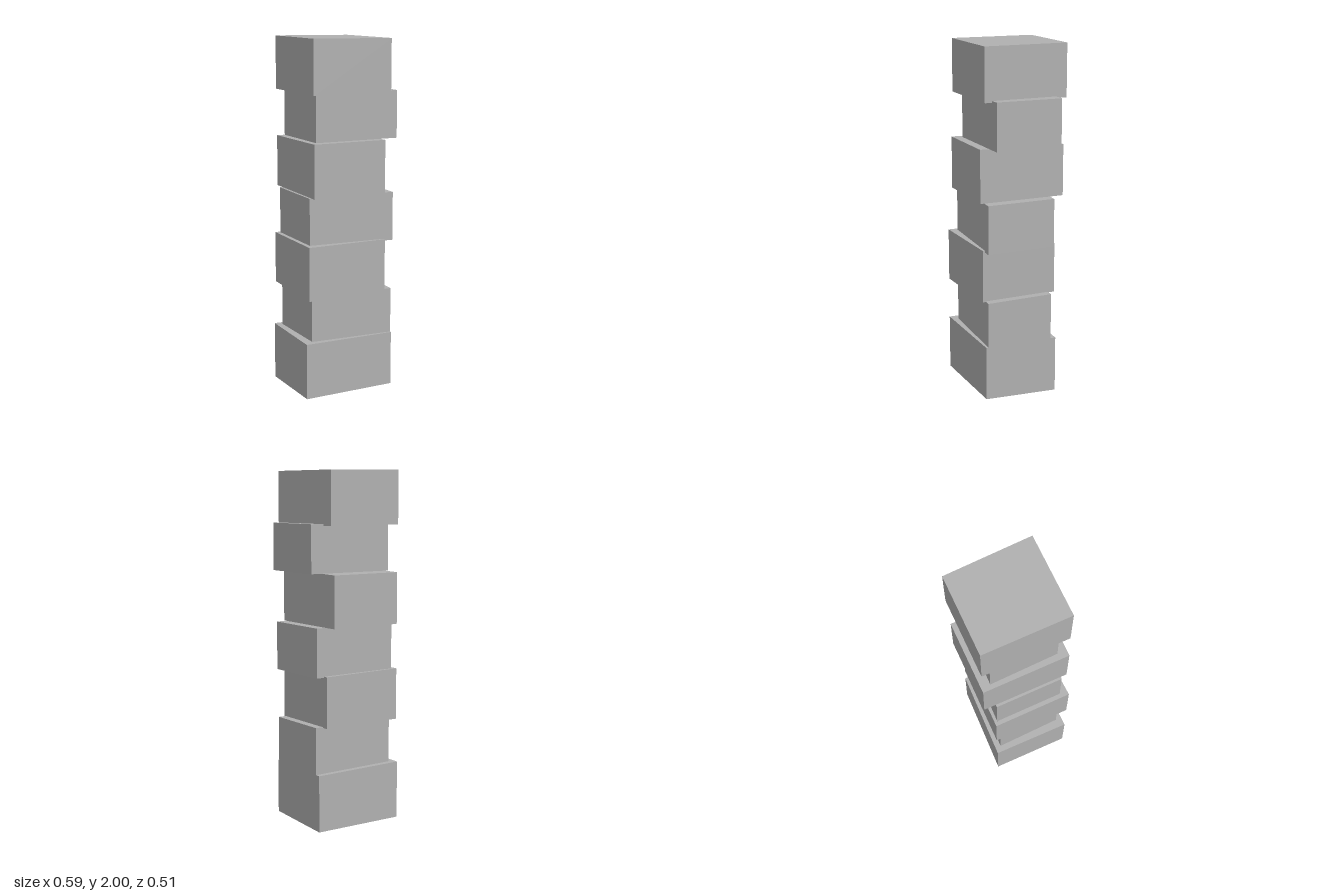
import * as THREE from 'three';

// Each block: corners [x, z] in order backLeftX, backRightX, frontRightX, frontLeftX (negative x first),
// and heights as base + slope along x and z, so the blocks sit slightly crooked.
const blocks = [
  { name: 'baseBlock', corners: [[-0.29, -0.205], [0.245, -0.19], [0.243, 0.238], [-0.295, 0.25]],
    bottom: [0.01, 0, 0.04], top: [0.33, -0.015, 0.01] },
  { name: 'secondBlock', corners: [[-0.255, -0.17], [0.245, -0.16], [0.245, 0.225], [-0.245, 0.213]],
    bottom: [0.33, -0.015, 0.01], top: [0.587, 0.01, -0.01] },
  { name: 'thirdBlock', corners: [[-0.28, -0.204], [0.2, -0.2], [0.198, 0.237], [-0.279, 0.255]],
    bottom: [0.585, 0, -0.01], top: [0.88, -0.01, 0.01] },
  { name: 'fourthBlock', corners: [[-0.255, -0.187], [0.247, -0.173], [0.252, 0.226], [-0.254, 0.208]],
    bottom: [0.872, -0.01, 0], top: [1.145, 0, 0] },
  { name: 'fifthBlock', corners: [[-0.24, -0.255], [0.187, -0.255], [0.19, 0.246], [-0.241, 0.243]],
    bottom: [1.145, 0, 0], top: [1.44, 0, 0.016] },
  { name: 'sixthBlock', corners: [[-0.215, -0.203], [0.293, -0.19], [0.292, 0.192], [-0.205, 0.19]],
    bottom: [1.443, 0, 0], top: [1.706, 0.01, 0] },
  { name: 'topBlock', corners: [[-0.242, -0.258], [0.212, -0.258], [0.23, 0.234], [-0.24, 0.234]],
    bottom: [1.7, -0.005, 0], top: [1.998, -0.01, 0] },
];

// Moves the corners of a box onto the given outline and sloped ends
function blockGeometry({ corners, bottom, top }) {
  const geometry = new THREE.BoxGeometry(1, 1, 1);
  const p = geometry.attributes.position;
  for (let i = 0; i < p.count; i++) {
    const right = p.getX(i) > 0, front = p.getZ(i) > 0;
    const [x, z] = corners[front ? (right ? 2 : 3) : (right ? 1 : 0)];
    const [y, slopeX, slopeZ] = p.getY(i) > 0 ? top : bottom;
    p.setXYZ(i, x, y + slopeX * x + slopeZ * z, z);
  }
  geometry.computeVertexNormals();
  return geometry;
}

export function createModel() {
  const stone = new THREE.MeshStandardMaterial({ color: 0xb0b0b0 });
  stone.name = 'stone grey';
  const tower = new THREE.Group();
  tower.name = 'blockTower';
  for (const block of blocks) {
    const mesh = new THREE.Mesh(blockGeometry(block), stone);
    mesh.name = block.name;
    tower.add(mesh);
  }
  return tower;
}
